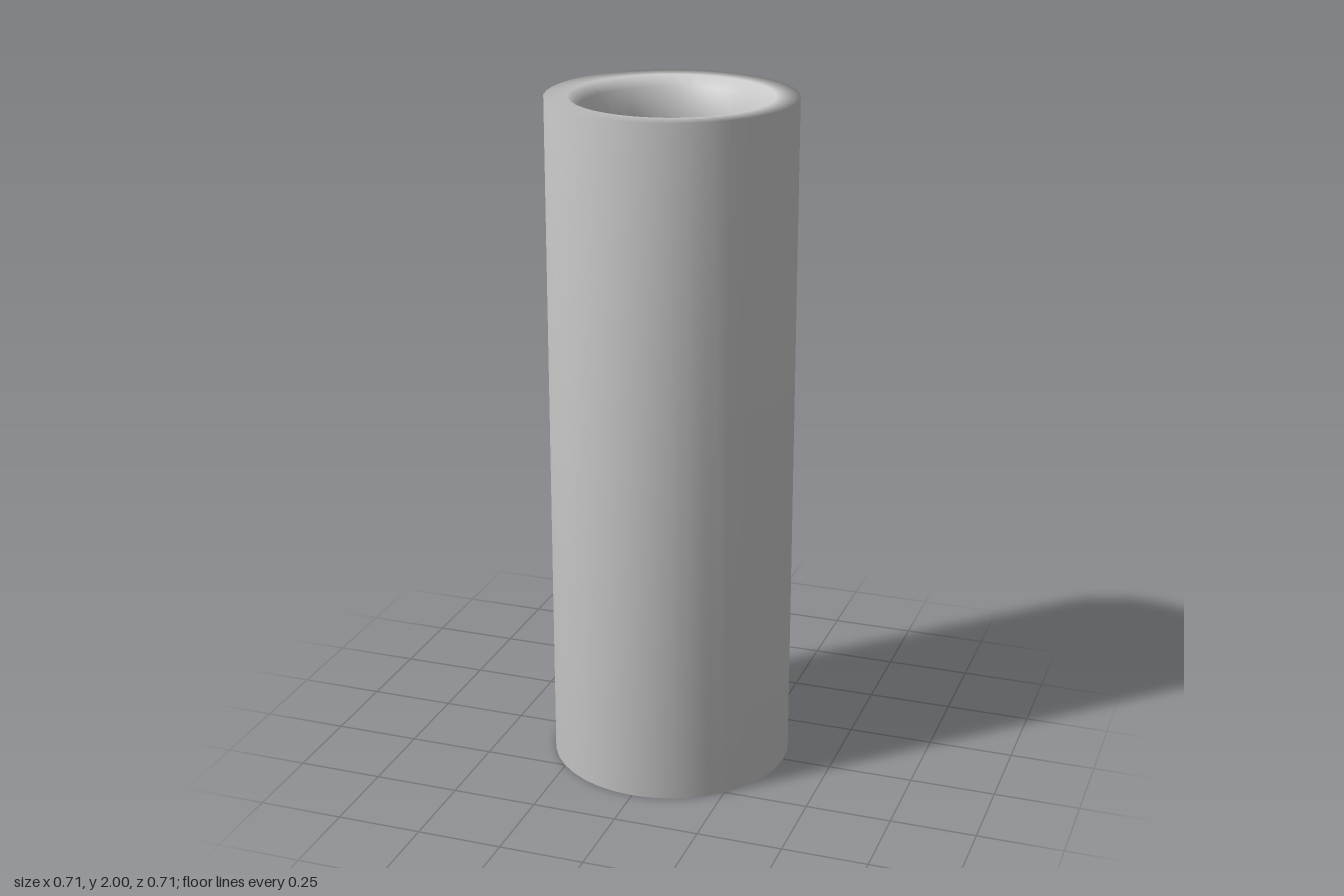
import * as THREE from 'three';

export function createModel() {
  const group = new THREE.Group();
  const material = new THREE.MeshStandardMaterial({ color: 0xcccccc });

  // Half section, from the recess under the base, up the outer wall, over the lip and into the cavity
  const profile = [
    [0, 0.22], [0.147, 0.22], [0.147, 0.04], // blind hole in the base
    [0.355, 0], [0.355, 2],                  // dished base and straight outer wall
    [0.288, 2], [0.26, 1.97], [0.235, 1.88], // flat rim and flared mouth
    [0.235, 0.34], [0, 0.34],                // deep cavity and its floor
  ].map(([r, y]) => new THREE.Vector2(r, y));

  // One continuous smooth-shaded turned body
  const body = new THREE.Mesh(new THREE.LatheGeometry(profile, 40), material);
  body.name = 'hollowCylinderBody';
  group.add(body);
  return group;
}
